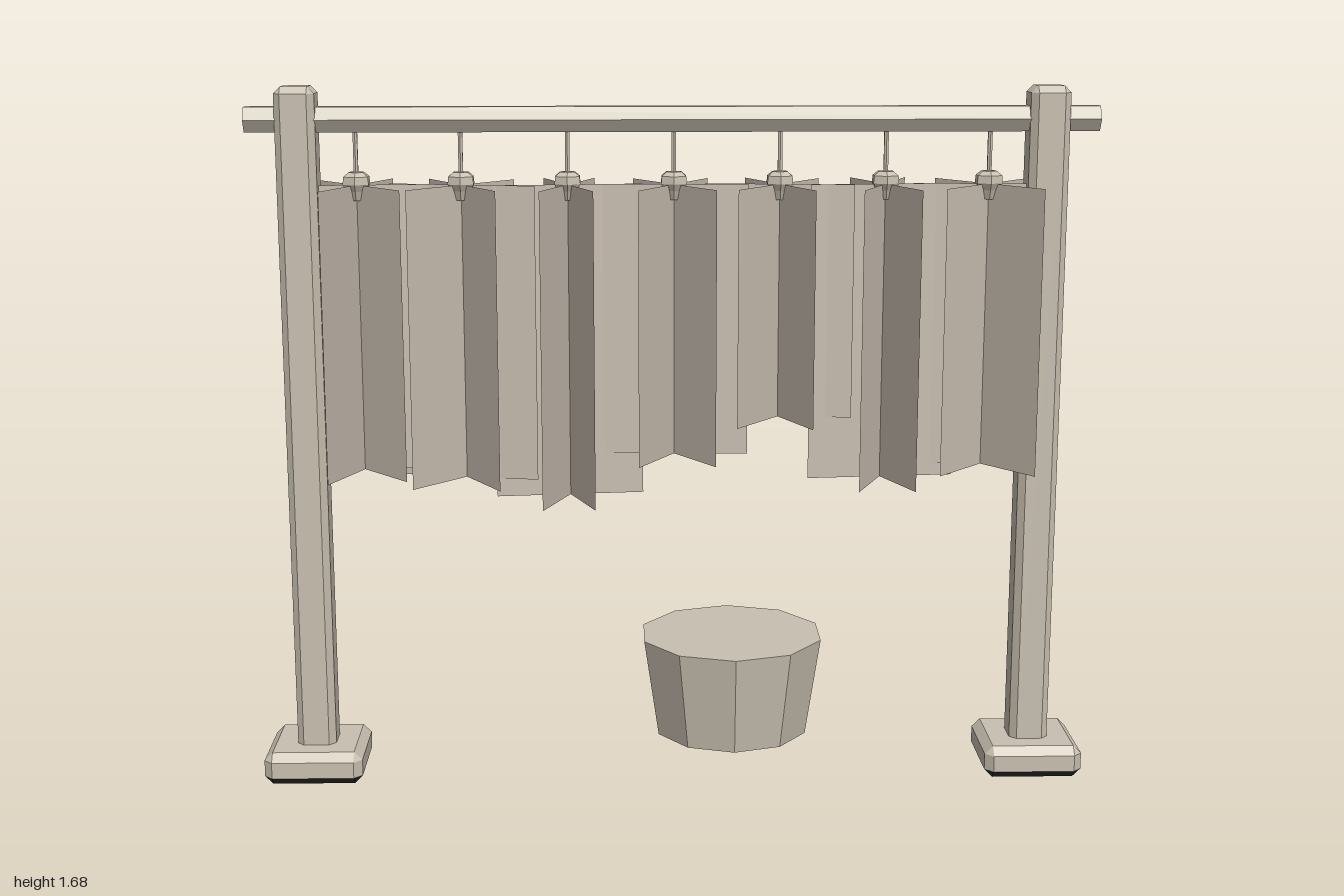
import * as THREE from 'three';
import { ConvexGeometry } from 'three/addons/geometries/ConvexGeometry.js';

const RACK_Z = 0.176;

// Box with every edge cut at 45 degrees, standing on y = 0
function chamferBox(w, h, d, c) {
  const points = [];
  for (const sx of [-1, 1]) for (const sy of [-1, 1]) for (const sz of [-1, 1]) {
    for (let axis = 0; axis < 3; axis++) {
      const inset = [c, c, c];
      inset[axis] = 0;
      points.push(new THREE.Vector3(
        sx * (w / 2 - inset[0]),
        h / 2 + sy * (h / 2 - inset[1]),
        sz * (d / 2 - inset[2])
      ));
    }
  }
  return new ConvexGeometry(points);
}

// Second material for every triangle that faces downward
function groupUnderside(geometry) {
  const normals = geometry.attributes.normal;
  for (let i = 0; i < normals.count; i += 3) {
    geometry.addGroup(i, 3, normals.getY(i) < -0.3 ? 1 : 0);
  }
  return geometry;
}

export function createModel() {
  const model = new THREE.Group();
  model.name = 'hangingRack';

  const stone = new THREE.MeshStandardMaterial({ color: 0xc8bfb0, flatShading: true });
  stone.name = 'warmGrey';
  const cloth = new THREE.MeshStandardMaterial({ color: 0xc9beb1, side: THREE.DoubleSide });
  cloth.name = 'clothGrey';
  const dark = new THREE.MeshStandardMaterial({ color: 0x303030, flatShading: true });
  dark.name = 'undersideBlack';

  const add = (parent, name, geometry, material, x, y, z) => {
    const mesh = new THREE.Mesh(geometry, material);
    mesh.name = name;
    mesh.position.set(x, y, z);
    parent.add(mesh);
    return mesh;
  };

  // Two posts on square feet with dark soles
  const postGeo = chamferBox(0.094, 1.64, 0.094, 0.016);
  const footGeo = groupUnderside(chamferBox(0.238, 0.08, 0.235, 0.02));
  for (const side of [-1, 1]) {
    const prefix = side > 0 ? 'left' : 'right';
    add(model, prefix + 'Post', postGeo, stone, side * 0.88, 0.04, RACK_Z);
    add(model, prefix + 'Foot', footGeo, [stone, dark], side * 0.881, 0, RACK_Z);
  }

  // Six-sided crossbar, flat on top
  const barGeo = new THREE.CylinderGeometry(0.034, 0.034, 2, 6).rotateZ(Math.PI / 2);
  add(model, 'crossbar', barGeo, stone, 0, 1.603, RACK_Z);

  // Hanging bundles: [x, bottom y, turn of each of the three crossing sheets in degrees]
  const TOP = 1.45;
  const WIDTH = 0.354;
  const bundles = [
    [-0.745, 0.765, [112.6, 50, -6]],
    [-0.5, 0.745, [131.8, 60, 12]],
    [-0.25, 0.7, [110.5, 69.5, -6]],
    [0, 0.8, [119, 57.5, 3]],
    [0.25, 0.89, [126.4, 66, 6]],
    [0.5, 0.74, [112.6, 68, -5]],
    [0.745, 0.77, [131.8, 53, 5]],
  ];
  const cordGeo = new THREE.CylinderGeometry(0.006, 0.006, 0.13, 6);
  const knotProfile = [[0, -0.035], [0.018, -0.034], [0.026, -0.012], [0.035, 0.004], [0.033, 0.022], [0.02, 0.032], [0, 0.033]];
  const knotGeo = new THREE.LatheGeometry(knotProfile.map(([r, y]) => new THREE.Vector2(r, y)), 6);
  for (const [x, bottom, turns] of bundles) {
    const bundle = new THREE.Group();
    bundle.name = 'hangingBundle';
    bundle.position.set(x, 0, RACK_Z);
    model.add(bundle);
    add(bundle, 'cord', cordGeo, stone, 0, 1.535, 0);
    add(bundle, 'knot', knotGeo, stone, 0, 1.448, 0);
    const sheetGeo = new THREE.PlaneGeometry(WIDTH, TOP - bottom);
    for (const turn of turns) {
      const sheet = add(bundle, 'sheet', sheetGeo, cloth, 0, (TOP + bottom) / 2, 0);
      sheet.rotation.y = -THREE.MathUtils.degToRad(turn);
    }
  }

  // Ten-sided tapered tub with a dark bottom
  const tubGeo = new THREE.CylinderGeometry(0.239, 0.2, 0.256, 10);
  add(model, 'tub', tubGeo, [stone, stone, dark], 0.157, 0.128, -0.106);

  return model;
}
